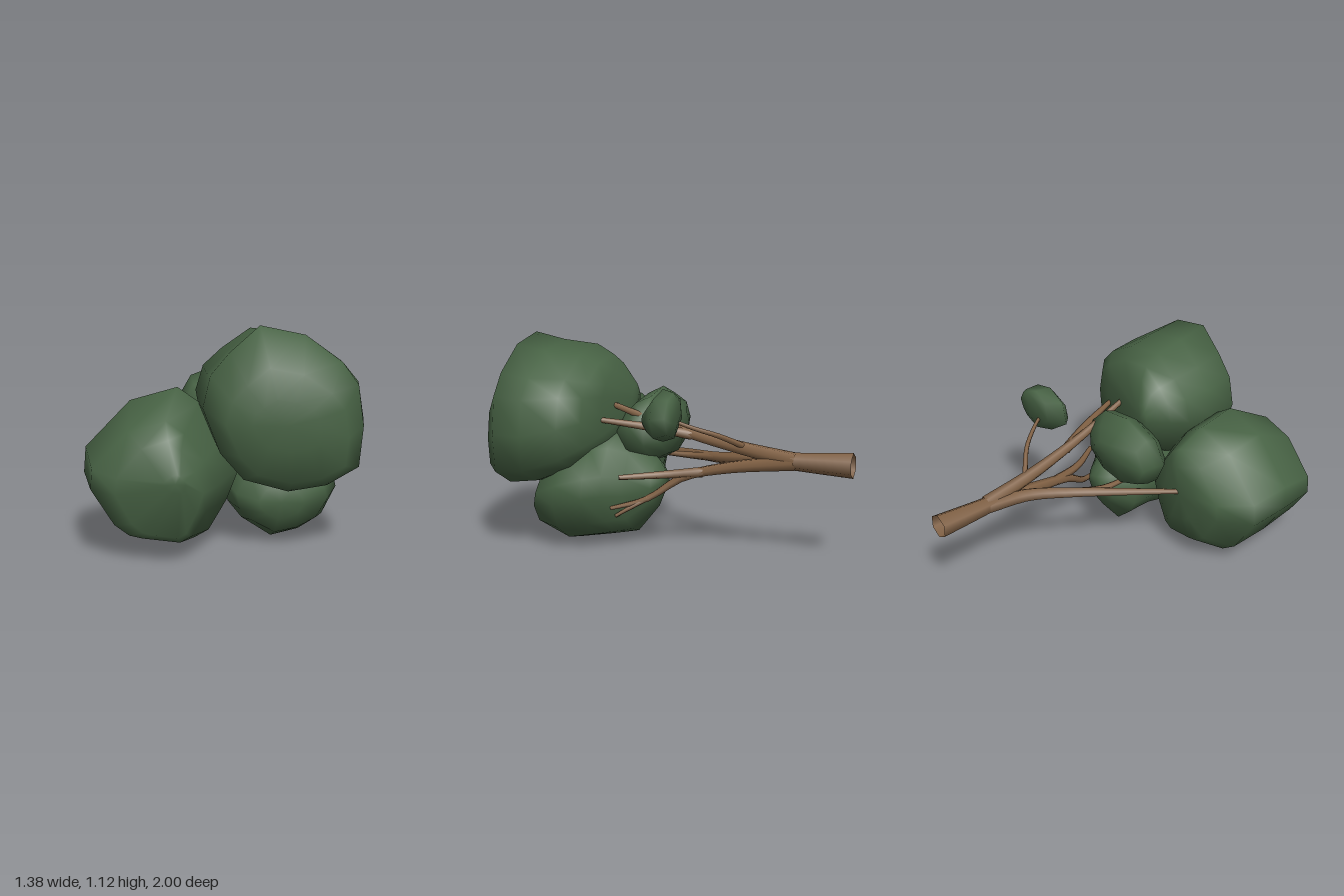
import * as THREE from 'three';

const foliage = new THREE.MeshStandardMaterial({ color: 0x476244 });
foliage.name = 'leaf green';
const bark = new THREE.MeshStandardMaterial({ color: 0x816144, side: THREE.DoubleSide });
bark.name = 'bark brown';

// Leaf clump: one outline, fitted to a box per ring [z, xMin, xMax, yMin, yMax]
function clump(name, outline, rings) {
  const xs = outline.map(p => p[0]), ys = outline.map(p => p[1]);
  const x0 = Math.min(...xs), x1 = Math.max(...xs), y0 = Math.min(...ys), y1 = Math.max(...ys);
  const n = outline.length, pos = [], index = [];
  for (const [z, a, b, c, d] of rings) {
    for (const [x, y] of outline) {
      pos.push(a + (b - a) * (x - x0) / (x1 - x0), c + (d - c) * (y - y0) / (y1 - y0), z);
    }
  }
  const last = (rings.length - 1) * n, back = rings.length * n, front = back + 1;
  for (const [z, a, b, c, d] of [rings[0], rings[rings.length - 1]]) {
    pos.push((a + b) / 2, (c + d) / 2, z);
  }
  for (let i = 0; i < n; i++) {
    const j = (i + 1) % n;
    for (let r = 0; r < last; r += n) {
      index.push(r + i, r + j, r + n + j, r + i, r + n + j, r + n + i);
    }
    index.push(back, j, i, front, last + i, last + j);
  }
  const geo = new THREE.BufferGeometry();
  geo.setAttribute('position', new THREE.Float32BufferAttribute(pos, 3));
  geo.setIndex(index);
  geo.computeVertexNormals();
  const mesh = new THREE.Mesh(geo, foliage);
  mesh.name = name;
  return mesh;
}

// Six-sided limb along a curve, tapering from r0 to r1
function limb(name, points, r0, r1) {
  const curve = new THREE.CatmullRomCurve3(points.map(p => new THREE.Vector3(...p)));
  const steps = points.length * 3, sides = 6;
  const geo = new THREE.TubeGeometry(curve, steps, 1, sides);
  const pos = geo.attributes.position, v = new THREE.Vector3();
  for (let i = 0; i < pos.count; i++) {
    const t = Math.floor(i / (sides + 1)) / steps;
    const c = curve.getPointAt(t);
    v.fromBufferAttribute(pos, i).sub(c).multiplyScalar(r0 + (r1 - r0) * t).add(c);
    pos.setXYZ(i, v.x, v.y, v.z);
  }
  const mesh = new THREE.Mesh(geo, bark);
  mesh.name = name;
  return mesh;
}

export function createModel() {
  const tree = new THREE.Group();
  tree.name = 'tree';

  // Large clumps
  tree.add(clump('upperClump',
    [[0.15, 1.115], [0, 0.99], [-0.1, 0.88], [-0.14, 0.72], [-0.05, 0.5], [0.07, 0.37], [0.3, 0.31],
      [0.5, 0.34], [0.665, 0.43], [0.685, 0.63], [0.655, 0.83], [0.57, 0.94], [0.38, 1.07]],
    [[0.24, 0, 0.12, 0.66, 0.84], [0.29, -0.05, 0.4, 0.55, 0.96], [0.34, -0.09, 0.54, 0.49, 1.01],
      [0.43, -0.14, 0.64, 0.42, 1.06], [0.62, -0.13, 0.685, 0.34, 1.08], [0.79, -0.11, 0.66, 0.31, 1.115],
      [0.865, 0, 0.58, 0.37, 0.92], [0.9, 0.12, 0.45, 0.53, 0.78]]));
  tree.add(clump('sideClump',
    [[-0.23, 0.8], [-0.46, 0.735], [-0.68, 0.5], [-0.69, 0.37], [-0.55, 0.14], [-0.46, 0.07], [-0.38, 0.05],
      [-0.15, 0.02], [-0.08, 0.06], [0.01, 0.22], [0.07, 0.38], [0, 0.55], [-0.12, 0.72]],
    [[0.25, -0.4, -0.14, 0.25, 0.58], [0.29, -0.53, -0.02, 0.11, 0.67], [0.43, -0.68, 0.06, 0.02, 0.76],
      [0.65, -0.69, 0.07, 0.04, 0.8], [0.89, -0.64, -0.05, 0.09, 0.68], [0.95, -0.52, -0.11, 0.13, 0.6],
      [1, -0.29, -0.19, 0.36, 0.45]]));
  tree.add(clump('lowerClump',
    [[0.25, 0.62], [0.08, 0.52], [0, 0.34], [0.02, 0.21], [0.09, 0.11], [0.24, 0], [0.38, 0.04],
      [0.5, 0.13], [0.57, 0.29], [0.55, 0.4], [0.45, 0.55]],
    [[0.02, 0.12, 0.24, 0.3, 0.4], [0.06, 0.07, 0.29, 0.2, 0.46], [0.18, 0.01, 0.39, 0.05, 0.57],
      [0.26, 0, 0.49, 0.04, 0.61], [0.34, 0, 0.56, 0.03, 0.61], [0.5, 0, 0.57, 0, 0.55],
      [0.64, 0.06, 0.51, 0.06, 0.42], [0.69, 0.17, 0.39, 0.14, 0.31]]));

  // Small clumps
  const round = [];
  for (let i = 0; i < 9; i++) {
    const a = i / 9 * Math.PI * 2 + 0.3;
    round.push([Math.cos(a), Math.sin(a)]);
  }
  tree.add(clump('innerClump', round,
    [[-0.015, -0.08, 0.14, 0.56, 0.7], [0.03, -0.22, 0.24, 0.47, 0.77], [0.1, -0.235, 0.3, 0.43, 0.83],
      [0.18, -0.22, 0.32, 0.42, 0.79], [0.27, -0.12, 0.25, 0.45, 0.7], [0.31, -0.02, 0.15, 0.52, 0.64]]));
  tree.add(clump('looseClump', [[0.45, 0.89], [0.34, 0.84], [0.31, 0.72], [0.45, 0.62], [0.58, 0.66], [0.63, 0.76], [0.57, 0.86]],
    [[-0.18, 0.45, 0.6, 0.72, 0.86], [-0.155, 0.38, 0.62, 0.65, 0.88], [-0.08, 0.31, 0.63, 0.62, 0.89],
      [-0.03, 0.36, 0.58, 0.66, 0.82], [0, 0.48, 0.54, 0.71, 0.77]]));

  // Trunk and branches
  tree.add(
    limb('trunk', [[0.185, 0.515, -1], [0.19, 0.513, -0.7], [0.195, 0.515, -0.6]], 0.066, 0.041),
    limb('sideBranch', [[0.185, 0.51, -0.7], [0.15, 0.5, -0.47], [0.06, 0.47, -0.25], [-0.08, 0.45, -0.02], [-0.27, 0.42, 0.29]], 0.043, 0.014),
    limb('sideTwig', [[0.06, 0.47, -0.25], [0, 0.455, -0.08], [-0.01, 0.455, 0.08]], 0.026, 0.014),
    limb('upperBranch', [[0.195, 0.52, -0.7], [0.21, 0.57, -0.4], [0.24, 0.65, -0.05], [0.27, 0.77, 0.31]], 0.043, 0.014),
    limb('upperTwig', [[0.23, 0.62, -0.15], [0.31, 0.66, 0.05], [0.4, 0.7, 0.33]], 0.028, 0.013),
    limb('looseTwig', [[0.22, 0.58, -0.43], [0.34, 0.65, -0.33], [0.41, 0.69, -0.24], [0.46, 0.73, -0.15]], 0.016, 0.009),
    limb('lowerBranch', [[0.2, 0.51, -0.7], [0.23, 0.46, -0.35], [0.27, 0.4, -0.12], [0.34, 0.28, 0.06], [0.43, 0.235, 0.23]], 0.043, 0.011),
    limb('lowerTwig', [[0.32, 0.3, 0.03], [0.38, 0.24, 0.13], [0.41, 0.19, 0.21]], 0.017, 0.009),
    limb('middleTwig', [[0.25, 0.43, -0.22], [0.32, 0.41, 0], [0.43, 0.405, 0.18]], 0.028, 0.013));
  return tree;
}
